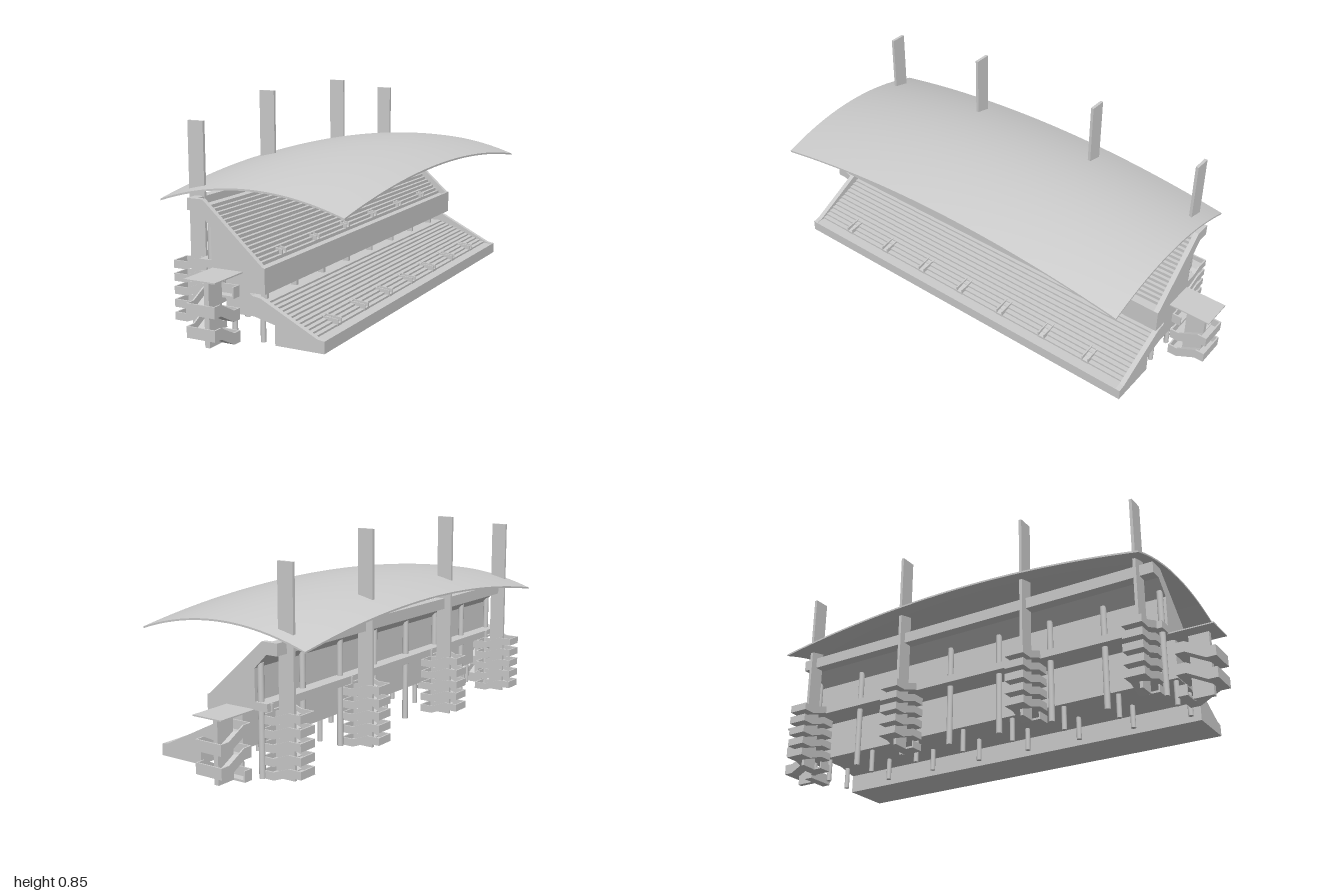
import * as THREE from 'three';

const grey = new THREE.MeshStandardMaterial({ color: 0xcccccc, side: THREE.DoubleSide });
const HALF = 0.833; // half length of the stand

function add(parent, name, geometry) {
  const mesh = new THREE.Mesh(geometry, grey);
  mesh.name = name;
  parent.add(mesh);
  return mesh;
}

// box given by its limits on each axis
function box(parent, name, x0, x1, y0, y1, z0, z1) {
  const g = new THREE.BoxGeometry(x1 - x0, y1 - y0, z1 - z0);
  return add(parent, name, g.translate((x0 + x1) / 2, (y0 + y1) / 2, (z0 + z1) / 2));
}

// cross-section of [z, y] points extruded along x
function section(parent, name, points, x0, x1) {
  const shape = new THREE.Shape(points.map(([z, y]) => new THREE.Vector2(z, y)));
  const g = new THREE.ExtrudeGeometry(shape, { depth: x1 - x0, bevelEnabled: false });
  return add(parent, name, g.rotateY(-Math.PI / 2).translate(x1, 0, 0));
}

// stepped line of points from the front foot to the back top
function steps(n, z0, y0, z1, y1) {
  const pts = [];
  for (let i = 0; i < n; i++) {
    const z = z0 + ((z1 - z0) * i) / n;
    pts.push([z, y0 + ((y1 - y0) * i) / n], [z, y0 + ((y1 - y0) * (i + 1)) / n]);
  }
  pts.push([z1, y1]);
  return pts;
}

// switchback stair around a spine; outward is local +z, side is the lane that falls inward
function stairTower({ run, lane, land, gap, rail, drop, tops, side }) {
  const t = new THREE.Group();
  const h = run / 2, w = lane + gap, slab = 0.008, thin = 0.006;
  const landing = (dir, top) => {
    const a = dir * h, b = dir * (h + land), e = b - dir * thin;
    box(t, 'landing', -w, w, top - rail, top - rail + slab, Math.min(a, b), Math.max(a, b));
    box(t, 'landingParapet', -w, w, top - rail, top, Math.min(e, b), Math.max(e, b));
    for (const s of [-1, 1]) {
      const x = s * (w - thin / 2);
      box(t, 'landingSide', x - thin / 2, x + thin / 2, top - rail, top, Math.min(a, b), Math.max(a, b));
    }
  };
  const flight = (s, outTop, inTop) => {
    const ramp = (height) => [
      [h, outTop - rail], [h, outTop - rail + height], [-h, inTop - rail + height], [-h, inTop - rail],
    ];
    const inner = s * gap, outer = s * w, edge = s * (w - thin);
    section(t, 'flight', ramp(slab * 1.5), Math.min(inner, outer), Math.max(inner, outer));
    section(t, 'flightParapet', ramp(rail), Math.min(edge, outer), Math.max(edge, outer));
  };
  tops.forEach((top) => {
    landing(1, top);
    landing(-1, top - drop);
    flight(side, top, top - drop);
    flight(-side, top, top + drop);
  });
  landing(-1, tops[0] + drop);
  return t;
}

export function createModel() {
  const model = new THREE.Group();
  const stand = new THREE.Group();
  stand.name = 'grandstand';
  stand.rotation.y = 0.194;
  stand.position.set(0.014, 0, -0.003);
  model.add(stand);

  // shared rear and underside outline, from the top at the back to the front foot
  const rear = [
    [-0.262, 0.5], [-0.262, 0.455], [-0.215, 0.455], [-0.16, 0.4], [-0.16, 0.28], [-0.215, 0.28],
    [-0.215, 0.25], [-0.1, 0.25], [-0.1, 0.095], [0.02, 0.095], [0.105, 0.075], [0.105, 0],
  ];

  // both seating tiers with the open concourse between them
  section(stand, 'seatingTiers', [
    [0.304, 0], [0.304, 0.045], ...steps(12, 0.26, 0.045, 0.02, 0.135),
    [-0.07, 0.135], [-0.07, 0.18], [0.065, 0.18], [0.065, 0.275],
    [0.055, 0.275], [0.055, 0.268], ...steps(16, 0.02, 0.268, -0.205, 0.472),
    [-0.225, 0.472], [-0.225, 0.5], ...rear,
  ], -HALF + 0.02, HALF - 0.02);

  // end walls that follow the rake
  for (const s of [-1, 1]) {
    section(stand, 'endWall', [
      [0.304, 0], [0.304, 0.045], [0.275, 0.05], [0.045, 0.165], [0.01, 0.17], [0.0, 0.18],
      [0.065, 0.18], [0.065, 0.275], [0.053, 0.28], [-0.195, 0.5], ...rear,
    ], s > 0 ? HALF - 0.02 : -HALF, s > 0 ? HALF : -HALF + 0.02);
  }

  // concourse piers
  for (let i = 0; i < 8; i++) {
    const x = -0.735 + i * 0.21;
    box(stand, 'concoursePier', x - 0.007, x + 0.007, 0.13, 0.182, -0.01, 0.015);
  }

  // aisle entrances: a pair of cheek walls and a sloping floor
  const entrance = (x, z, y, length, rise) => {
    const cheek = [[z, y], [z, y + 0.03], [z - length, y + rise + 0.012], [z - length, y]];
    section(stand, 'entranceCheek', cheek, x - 0.016, x - 0.011);
    section(stand, 'entranceCheek', cheek, x + 0.011, x + 0.016);
    section(stand, 'entranceFloor',
      [[z, y], [z, y + 0.014], [z - length, y + rise + 0.006], [z - length, y]], x - 0.011, x + 0.011);
  };
  for (let i = 0; i < 7; i++) entrance(-0.642 + i * 0.214, 0.262, 0.04, 0.07, 0.025);
  for (let i = 0; i < 6; i++) entrance(-0.625 + i * 0.25, 0.02, 0.268, 0.03, 0.025);

  // columns under the tiers and along the back
  for (let i = 0; i < 8; i++) {
    const x = -0.815 + i * 0.2328;
    const rearColumn = add(stand, 'rearColumn', new THREE.CylinderGeometry(0.012, 0.012, 0.42, 12));
    rearColumn.position.set(x, 0.21, -0.173);
    for (const z of [0.045, -0.075]) {
      const column = add(stand, 'lowerColumn', new THREE.CylinderGeometry(0.01, 0.01, 0.1, 12));
      column.position.set(x, 0.05, z);
    }
  }

  // masts with a stair wrapped around each foot
  [[-0.772, 0.775], [-0.288, 0.845], [0.296, 0.845], [0.774, 0.775]].forEach(([x, top]) => {
    box(stand, 'mast', x - 0.006, x + 0.006, 0, top, -0.291, -0.224);
    const stair = stairTower({
      run: 0.067, lane: 0.034, land: 0.055, gap: 0.006, rail: 0.03, drop: 0.025,
      tops: [0.255, 0.205, 0.155, 0.105, 0.055], side: -1,
    });
    stair.name = 'mastStair';
    stair.rotation.y = Math.PI;
    stair.position.set(x, 0, -0.257);
    stand.add(stair);
  });

  // covered stair at each end
  for (const s of [-1, 1]) {
    const end = stairTower({
      run: 0.08, lane: 0.05, land: 0.038, gap: 0.01, rail: 0.042, drop: 0.042,
      tops: [0.166, 0.082], side: -s,
    });
    end.name = 'endStair';
    box(end, 'spineWall', -0.01, 0.01, 0, 0.25, -0.04, 0.04);
    box(end, 'canopy', -0.065, 0.065, 0.248, 0.253, -0.1, 0.08);
    end.rotation.y = (s * Math.PI) / 2;
    end.position.set(s * 0.925, 0, -0.092);
    stand.add(end);
  }

  // thin roof shell, arched both ways
  const roof = new THREE.BoxGeometry(1.662, 0.007, 0.764, 40, 1, 24);
  const p = roof.attributes.position;
  for (let i = 0; i < p.count; i++) {
    const u = p.getX(i) / 0.831, v = p.getZ(i) / 0.382;
    p.setY(i, p.getY(i) + 0.483 + 0.073 * (1 - u * u) + 0.066 * (1 - v * v));
  }
  roof.computeVertexNormals();
  add(stand, 'roof', roof);

  return model;
}
